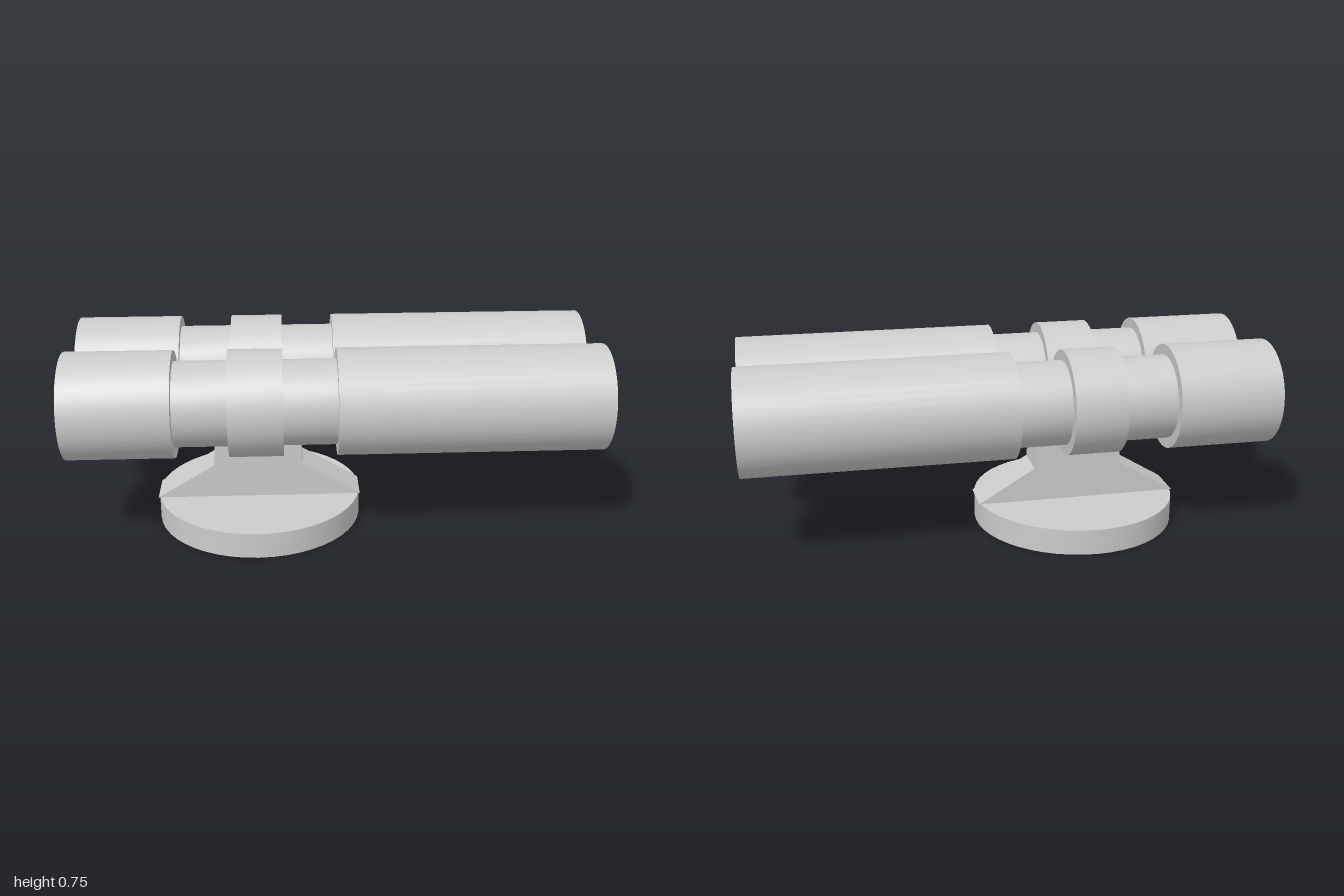
import * as THREE from 'three';
import { toCreasedNormals } from 'three/addons/utils/BufferGeometryUtils.js';

const material = new THREE.MeshStandardMaterial({ color: 0xcccccc });

function addPart(parent, name, geometry) {
  const mesh = new THREE.Mesh(toCreasedNormals(geometry, Math.PI / 6), material);
  mesh.name = name;
  parent.add(mesh);
  return mesh;
}

const toPoints = (pairs) => pairs.map(([a, b]) => new THREE.Vector2(a, b));

export function createModel() {
  const model = new THREE.Group();
  model.name = 'twinBarrelTurret';
  const centreX = -0.3;

  // Round base plate
  addPart(model, 'base', new THREE.CylinderGeometry(0.4, 0.4, 0.1, 48))
    .position.set(centreX, 0.05, 0);

  // Flared post, symmetric side profile extruded across z
  const half = [[0.4, 0.1], [0.175, 0.235], [0.15, 0.578], [0.085, 0.588]];
  const mirrored = half.map(([x, y]) => [-x, y]).reverse();
  const postShape = new THREE.Shape(toPoints([...half, ...mirrored]));
  const postWidth = 0.156;
  const post = new THREE.ExtrudeGeometry(postShape, { depth: postWidth, bevelEnabled: false });
  post.translate(centreX, 0, -postWidth / 2);
  addPart(model, 'post', post);

  // Stepped hollow barrels: [radius, position along x], closed at the rear
  const profile = toPoints([
    [0, -1], [0.2, -1], [0.2, -0.6], [0.16, -0.6], [0.16, -0.4],
    [0.2, -0.4], [0.2, -0.2], [0.16, -0.2], [0.16, 0], [0.2, 0],
    [0.2, 1], [0.14, 1], [0.14, -0.9], [0, -0.9],
  ]);
  for (const side of [1, -1]) {
    const barrel = new THREE.LatheGeometry(profile, 40);
    barrel.rotateZ(-Math.PI / 2);
    addPart(model, side > 0 ? 'frontBarrel' : 'backBarrel', barrel)
      .position.set(0, 0.55, side * 0.21);
  }

  return model;
}
